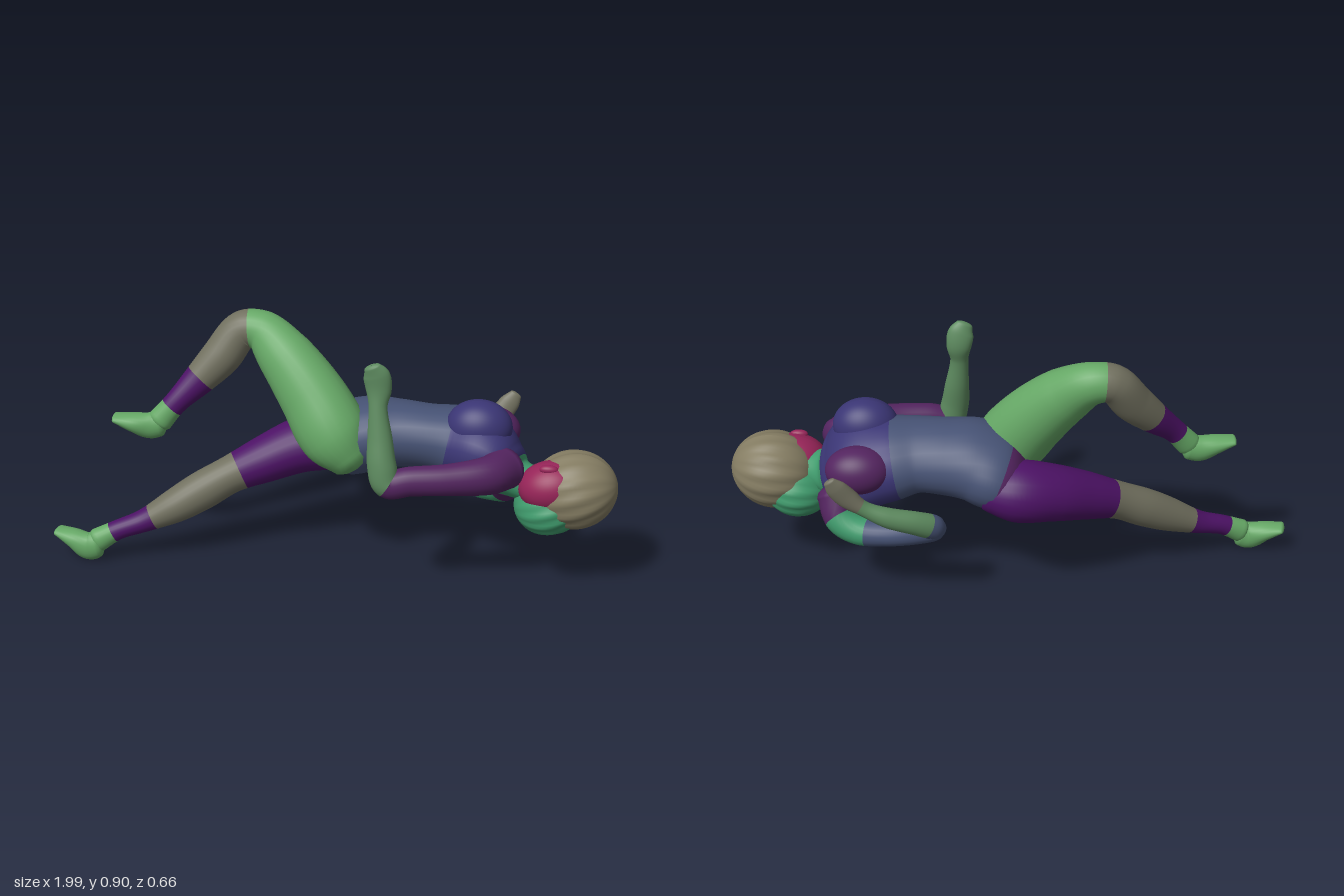
import * as THREE from 'three';

const V = (x, y, z) => new THREE.Vector3(x, y, z);
const mat = (color) => new THREE.MeshStandardMaterial({ color });
const SIDES = 24, STEPS = 8;

const C = {
  green: 0x66a866, moss: 0x5d8a5f, taupe: 0x71705f, violet: 0x4d1266, slate: 0x465274,
  indigo: 0x3a3574, plum: 0x53245f, magenta: 0x962458, teal: 0x3f9a6c, hair: 0x847c62,
};

// Smooth body through sections [x, y, z, halfWidth, halfDepth, tilt].
// Bands [name, fromSection, toSection, color] cut it into coloured parts that share their normals.
function loft(group, sections, bands) {
  const path = new THREE.CatmullRomCurve3(sections.map((s) => V(s[0], s[1], s[2])));
  const sizes = new THREE.CatmullRomCurve3(
    sections.map((s) => V(s[3], s[4], s[5] || 0)), false, 'catmullrom', 0.5);
  const n = (sections.length - 1) * STEPS;
  const rings = [];
  for (let i = 0; i <= n; i++) {
    const p = sizes.getPoint(i / n);
    rings.push({ c: path.getPoint(i / n), t: path.getTangent(i / n), a: p.x, b: p.y, tilt: p.z });
  }
  // Rounded ends
  const dome = (ring, sign) => [25, 50, 70, 86].map((deg) => {
    const f = deg * Math.PI / 180, k = Math.cos(f);
    const off = sign * 0.6 * Math.min(ring.a, ring.b) * Math.sin(f);
    return { ...ring, c: ring.c.clone().addScaledVector(ring.t, off), a: ring.a * k, b: ring.b * k };
  });
  const first = dome(rings[0], -1).reverse(), last = dome(rings[n], 1);
  const all = [...first, ...rings, ...last];

  const pos = [];
  for (const { c, t, a, b, tilt } of all) {
    const w = V(0, Math.sin(tilt), Math.cos(tilt));
    w.addScaledVector(t, -w.dot(t)).normalize();
    const d = t.clone().cross(w);
    for (let j = 0; j < SIDES; j++) {
      const q = j / SIDES * Math.PI * 2;
      const p = c.clone().addScaledVector(w, a * Math.cos(q)).addScaledVector(d, b * Math.sin(q));
      pos.push(p.x, p.y, p.z);
    }
  }
  const faces = (from, to) => {
    const index = [];
    for (let i = from; i < to; i++) {
      for (let j = 0; j < SIDES; j++) {
        const k = (j + 1) % SIDES, r = i * SIDES, s = r + SIDES;
        index.push(r + j, r + k, s + k, r + j, s + k, s + j);
      }
    }
    return index;
  };
  const whole = new THREE.BufferGeometry();
  whole.setAttribute('position', new THREE.Float32BufferAttribute(pos, 3));
  whole.setIndex(faces(0, all.length - 1));
  whole.computeVertexNormals();
  bands.forEach(([name, from, to, color], i) => {
    const g = whole.clone();
    const start = i === 0 ? 0 : first.length + Math.round(from * STEPS);
    const end = i === bands.length - 1 ? all.length - 1 : first.length + Math.round(to * STEPS);
    g.setIndex(faces(start, end));
    const mesh = new THREE.Mesh(g, mat(color));
    mesh.name = name;
    group.add(mesh);
  });
}

// Ellipsoid, optionally with ridges running along x like strands of hair
function ellipsoid(group, name, color, centre, radii, ridges = 0, rotZ = 0) {
  const g = new THREE.SphereGeometry(1, 56, 32);
  g.rotateZ(-Math.PI / 2);
  if (ridges) {
    const p = g.attributes.position;
    for (let i = 0; i < p.count; i++) {
      const x = p.getX(i), y = p.getY(i), z = p.getZ(i);
      const k = 1 + 0.025 * Math.hypot(y, z) * Math.sin(ridges * Math.atan2(z, y) + 2 * x);
      p.setXYZ(i, x, y * k, z * k);
    }
  }
  g.scale(...radii);
  g.computeVertexNormals();
  const mesh = new THREE.Mesh(g, mat(color));
  mesh.name = name;
  mesh.position.set(...centre);
  mesh.rotation.z = rotZ;
  group.add(mesh);
}

export function createModel() {
  const model = new THREE.Group();
  const part = (name) => {
    const g = new THREE.Group();
    g.name = name;
    model.add(g);
    return g;
  };

  // Torso twists from the level hips to the tilted shoulders
  const torso = part('torso');
  loft(torso, [
    [-0.04, 0.43, -0.06, 0.13, 0.07, 0.1], [0.03, 0.46, -0.06, 0.175, 0.125, 0.15],
    [0.12, 0.495, -0.05, 0.165, 0.13, 0.25], [0.22, 0.505, -0.045, 0.148, 0.12, 0.35],
    [0.32, 0.505, -0.035, 0.145, 0.115, 0.42], [0.42, 0.49, -0.035, 0.165, 0.13, 0.48],
    [0.52, 0.465, -0.015, 0.19, 0.135, 0.55], [0.595, 0.425, 0.01, 0.17, 0.1, 0.6],
    [0.645, 0.4, 0.03, 0.09, 0.07, 0.62], [0.72, 0.39, 0.06, 0.06, 0.06, 0.6],
  ], [['pelvis', 0, 1, C.plum], ['waist', 1, 4.7, C.slate],
    ['chest', 4.7, 7.5, C.indigo], ['neck', 7.5, 9, C.teal]]);
  ellipsoid(torso, 'rightBreast', C.indigo, [0.505, 0.585, 0.03], [0.115, 0.097, 0.088]);
  ellipsoid(torso, 'leftBreast', C.plum, [0.52, 0.5, -0.14], [0.115, 0.085, 0.085]);

  // Head, hair falling back and down
  const head = part('head');
  ellipsoid(head, 'hair', C.hair, [0.84, 0.385, 0.055], [0.152, 0.135, 0.138], 14, 0.2);
  ellipsoid(head, 'lowerHair', C.teal, [0.76, 0.325, 0.05], [0.125, 0.105, 0.135], 14, 0.2);
  ellipsoid(head, 'face', C.magenta, [0.765, 0.41, 0.09], [0.115, 0.088, 0.092], 0, 0.2);
  ellipsoid(head, 'nose', C.magenta, [0.755, 0.488, 0.125], [0.032, 0.016, 0.016]);

  // Right arm lies along the body, forearm raised
  const rightArm = part('rightArm');
  loft(rightArm, [
    [0.6, 0.48, 0.12, 0.08, 0.075], [0.56, 0.485, 0.195, 0.063, 0.068],
    [0.43, 0.483, 0.25, 0.05, 0.056], [0.3, 0.478, 0.275, 0.045, 0.052],
    [0.225, 0.467, 0.285, 0.045, 0.05], [0.205, 0.53, 0.28, 0.042, 0.05],
    [0.195, 0.62, 0.262, 0.036, 0.043], [0.185, 0.73, 0.245, 0.026, 0.032],
    [0.185, 0.79, 0.232, 0.028, 0.044], [0.178, 0.84, 0.235, 0.024, 0.046],
    [0.165, 0.872, 0.242, 0.016, 0.03],
  ], [['rightShoulder', 0, 1, C.plum], ['rightUpperArm', 1, 4, C.plum],
    ['rightForearm', 4, 7.3, C.moss], ['rightHand', 7.3, 10, C.moss]]);

  // Left arm reaches back, forearm folded toward the head
  const leftArm = part('leftArm');
  loft(leftArm, [
    [0.6, 0.36, -0.08, 0.085, 0.075], [0.585, 0.3, -0.125, 0.07, 0.064],
    [0.53, 0.27, -0.16, 0.057, 0.052],
    [0.43, 0.272, -0.185, 0.05, 0.046], [0.32, 0.3, -0.215, 0.045, 0.046],
    [0.26, 0.33, -0.238, 0.042, 0.046], [0.31, 0.363, -0.265, 0.038, 0.043],
    [0.41, 0.4, -0.288, 0.034, 0.036], [0.49, 0.44, -0.295, 0.026, 0.027],
    [0.545, 0.485, -0.3, 0.026, 0.038], [0.58, 0.53, -0.312, 0.02, 0.036],
    [0.6, 0.56, -0.32, 0.012, 0.022],
  ], [['leftShoulder', 0, 1, C.plum], ['leftArmpit', 1, 2.4, C.teal],
    ['leftUpperArm', 2.4, 5.5, C.slate], ['leftForearm', 5.5, 8.3, C.moss],
    ['leftHand', 8.3, 11, C.taupe]]);

  // Right leg, knee raised
  const rightLeg = part('rightLeg');
  loft(rightLeg, [
    [0.06, 0.45, 0.04, 0.1, 0.09], [0, 0.52, 0.035, 0.118, 0.125],
    [-0.08, 0.635, -0.005, 0.108, 0.12], [-0.19, 0.76, -0.06, 0.09, 0.1],
    [-0.28, 0.83, -0.105, 0.07, 0.075], [-0.35, 0.83, -0.105, 0.064, 0.068],
    [-0.42, 0.74, -0.07, 0.062, 0.07], [-0.49, 0.665, -0.035, 0.052, 0.058],
    [-0.57, 0.585, 0.01, 0.038, 0.042], [-0.625, 0.52, 0.03, 0.036, 0.045],
  ], [['rightThigh', 0, 4.6, C.green], ['rightShin', 4.6, 7, C.taupe],
    ['rightAnkle', 7, 8.3, C.violet], ['rightInstep', 8.3, 9, C.green]]);
  loft(rightLeg, [
    [-0.625, 0.505, 0.03, 0.034, 0.045], [-0.665, 0.5, 0.035, 0.038, 0.048],
    [-0.72, 0.512, 0.043, 0.042, 0.034], [-0.785, 0.527, 0.048, 0.034, 0.014],
  ], [['rightFoot', 0, 3, C.green]]);

  // Left leg, stretched out and down
  const leftLeg = part('leftLeg');
  loft(leftLeg, [
    [0.06, 0.43, -0.13, 0.1, 0.085], [-0.03, 0.42, -0.135, 0.118, 0.108],
    [-0.14, 0.4, -0.11, 0.108, 0.1], [-0.27, 0.355, -0.055, 0.088, 0.084],
    [-0.38, 0.31, -0.01, 0.068, 0.068], [-0.48, 0.255, 0.03, 0.066, 0.07],
    [-0.57, 0.205, 0.065, 0.06, 0.062], [-0.68, 0.152, 0.1, 0.043, 0.042],
    [-0.77, 0.122, 0.13, 0.036, 0.036], [-0.84, 0.085, 0.15, 0.036, 0.044],
  ], [['leftThigh', 0, 3.8, C.violet], ['leftShin', 3.8, 6.8, C.taupe],
    ['leftAnkle', 6.8, 8.2, C.violet], ['leftInstep', 8.2, 9, C.green]]);
  loft(leftLeg, [
    [-0.84, 0.068, 0.155, 0.034, 0.048], [-0.875, 0.062, 0.157, 0.038, 0.052],
    [-0.93, 0.085, 0.148, 0.042, 0.034], [-0.99, 0.105, 0.138, 0.034, 0.014],
  ], [['leftFoot', 0, 3, C.green]]);

  // Settle on the ground
  const box = new THREE.Box3().setFromObject(model);
  model.children.forEach((g) => { g.position.y -= box.min.y; });
  return model;
}
